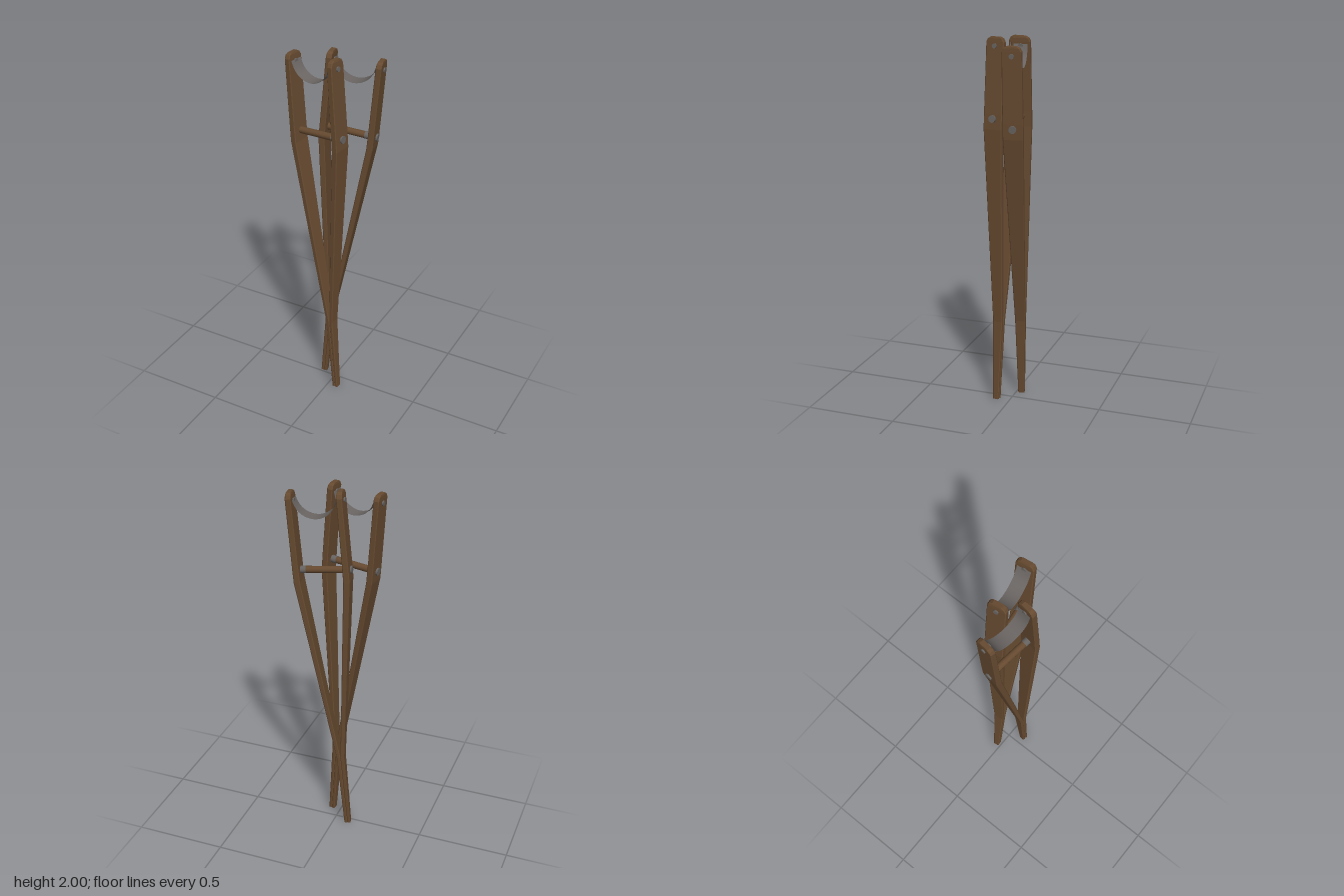
import * as THREE from 'three';

const mat = (name, color, side = THREE.FrontSide) => {
  const m = new THREE.MeshStandardMaterial({ color, side });
  m.name = name;
  return m;
};

// One side post, lofted through bevelled rectangular sections; s = -1 or 1.
// Each section: height, inner x, outer x, depth
const SECTIONS = [
  [0, 0, 0.017, 0.034],
  [0.45, 0, 0.021, 0.055],
  [1.52, 0.112, 0.145, 0.104],
  [1.6, 0.113, 0.145, 0.104],
  [1.965, 0.113, 0.143, 0.1],
  [1.983, 0.114, 0.142, 0.082],
  [1.992, 0.116, 0.14, 0.05],
];

function postGeometry(s) {
  const rings = SECTIONS.map(([y, a, b, d]) => {
    const c = 0.004, h = d / 2;
    const ring = [[a + c, h], [b - c, h], [b, h - c], [b, c - h], [b - c, -h], [a + c, -h], [a, c - h], [a, h - c]]
      .map(([x, z]) => [s * x, y, z]);
    return s > 0 ? ring : ring.reverse();
  });
  const pos = [];
  const tri = (...p) => p.forEach((v) => pos.push(...v));
  for (let i = 0; i < rings.length - 1; i++) {
    for (let j = 0; j < 8; j++) {
      const k = (j + 1) % 8, lo = rings[i], hi = rings[i + 1];
      tri(lo[j], lo[k], hi[k]);
      tri(lo[j], hi[k], hi[j]);
    }
  }
  // End caps
  const top = rings[rings.length - 1], bottom = rings[0];
  for (let j = 1; j < 7; j++) {
    tri(top[0], top[j], top[j + 1]);
    tri(bottom[0], bottom[j + 1], bottom[j]);
  }
  const g = new THREE.BufferGeometry();
  g.setAttribute('position', new THREE.Float32BufferAttribute(pos, 3));
  g.computeVertexNormals();
  return g;
}

// Sagging armrest strap
function strapGeometry() {
  const g = new THREE.PlaneGeometry(0.22, 0.074, 24, 1);
  g.rotateX(-Math.PI / 2);
  const p = g.attributes.position;
  for (let i = 0; i < p.count; i++) {
    const t = Math.abs(p.getX(i)) / 0.11;
    p.setY(i, 1.858 + 0.062 * t ** 2 + 0.035 * t ** 8);
  }
  g.computeVertexNormals();
  return g;
}

// Cylinder lying along x, from x0 to x1
function rod(name, r, x0, x1, y, material, sides = 12) {
  const g = new THREE.CylinderGeometry(r, r, x1 - x0, sides);
  g.rotateZ(Math.PI / 2);
  const m = new THREE.Mesh(g, material);
  m.name = name;
  m.position.set((x0 + x1) / 2, y, 0);
  return m;
}

function crutch(name, wood, metal, strapMat) {
  const group = new THREE.Group();
  group.name = name;
  for (const s of [-1, 1]) {
    const post = new THREE.Mesh(postGeometry(s), wood);
    post.name = s > 0 ? 'leftPost' : 'rightPost';
    group.add(post);
    // Bolts through the post at the strap and at the handle
    const span = (a, b) => (s > 0 ? [a, b] : [-b, -a]);
    group.add(rod('strapBolt', 0.013, ...span(0.106, 0.15), 1.945, metal));
    group.add(rod('handleBolt', 0.02, ...span(0.135, 0.154), 1.575, metal));
  }
  // Hand grip with a metal collar at one end
  group.add(rod('handle', 0.018, -0.118, 0.118, 1.575, wood, 16));
  group.add(rod('handleCollar', 0.0195, 0.085, 0.116, 1.575, metal, 16));
  const strap = new THREE.Mesh(strapGeometry(), strapMat);
  strap.name = 'armStrap';
  group.add(strap);
  return group;
}

export function createModel() {
  const wood = mat('wood', 0x664a30);
  const metal = mat('metal', 0x66625f);
  const strapMat = mat('strap', 0x6a6563, THREE.DoubleSide);
  const model = new THREE.Group();
  model.name = 'crutches';

  // Two crutches leaning across each other
  const front = crutch('frontCrutch', wood, metal, strapMat);
  front.position.set(0.05, 0, 0.075);
  front.rotation.set(0, -0.128, 0.07, 'YXZ');
  const back = crutch('backCrutch', wood, metal, strapMat);
  back.position.set(-0.08, 0, -0.027);
  back.rotation.set(0, 0.155, -0.088, 'YXZ');
  model.add(front, back);
  return model;
}
